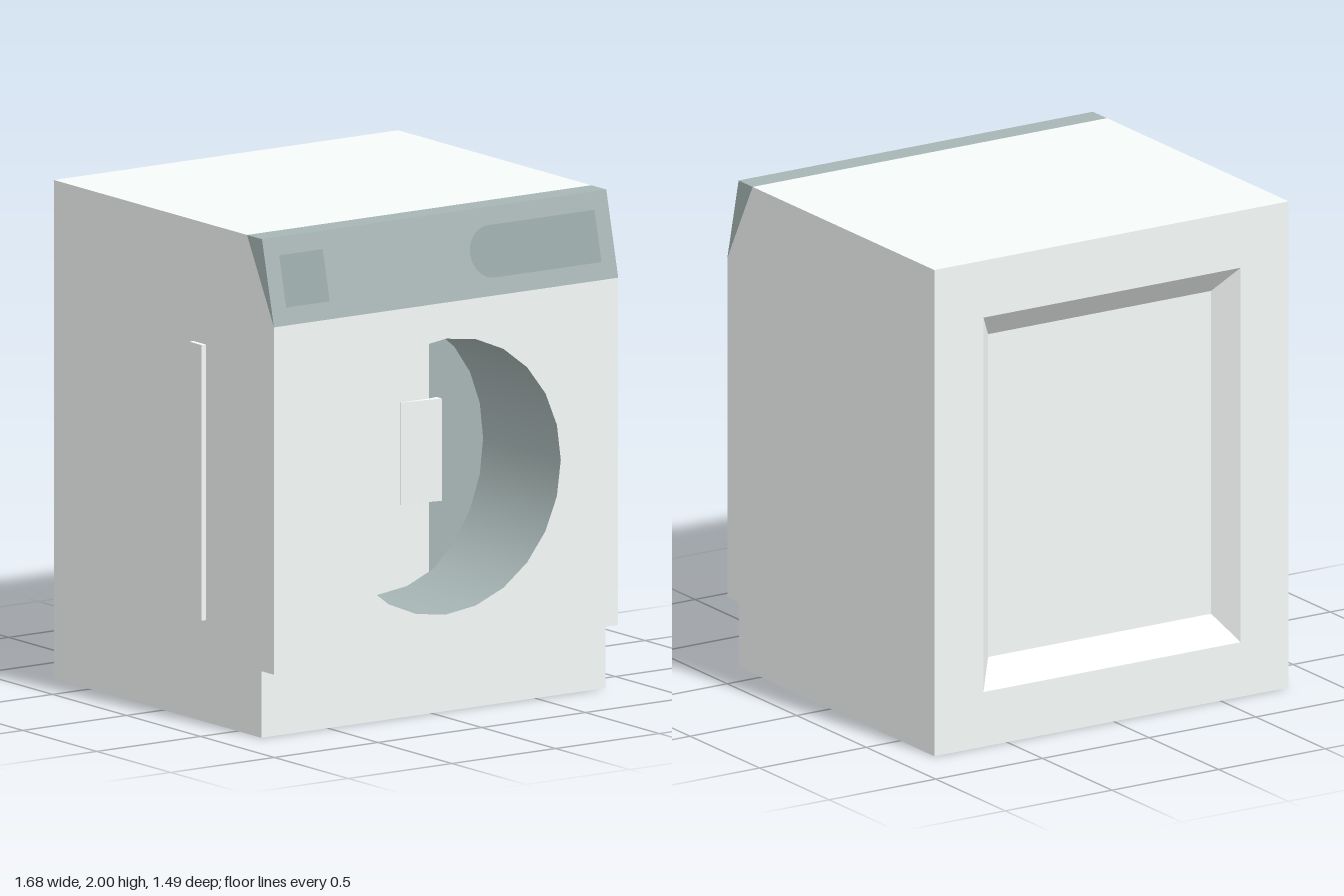
import * as THREE from 'three';

const white = new THREE.MeshStandardMaterial({ color: 0xf6faf8, side: THREE.DoubleSide });
const teal = new THREE.MeshStandardMaterial({ color: 0xa6b5b4, side: THREE.DoubleSide });
const darkTeal = new THREE.MeshStandardMaterial({ color: 0x97a6a5, side: THREE.DoubleSide });

// Main dimensions
const CX = 0.01, W = 1.66, LEFT = 0.84, RIGHT = -0.82;
const FRONT = 0.745, BACK = -0.745, KICK_Z = 0.66, KICK_Y = 0.267;
const PANEL_Y = 1.66, PANEL_TOP_Z = 0.664, PANEL_BACK_Z = 0.563, TOP = 2;
const DOOR_Y = 0.962, DOOR_R = 0.553, DOOR_DEPTH = 0.465;
const CHORD = 0.25, CHORD_SLOPE = 0.2;

const polygon = (points) => new THREE.Shape(points.map(([x, y]) => new THREE.Vector2(x, y)));
const rect = (x0, y0, x1, y1) => [[x0, y0], [x1, y0], [x1, y1], [x0, y1]];
// Points on the 24-sided door circle, from one 15-degree step to another
const arc = (from, to, cx = 0, cy = 0) => {
  const points = [];
  for (let i = from; i <= to; i++) {
    const a = (i * Math.PI) / 12;
    points.push([cx + DOOR_R * Math.cos(a), cy + DOOR_R * Math.sin(a)]);
  }
  return points;
};
// Reverse the corner order of every triangle
const flipFaces = (g) => {
  const index = g.index.array;
  for (let i = 0; i < index.length; i += 3) [index[i], index[i + 1]] = [index[i + 1], index[i]];
  g.computeVertexNormals();
  return g;
};

export function createModel() {
  const model = new THREE.Group();
  const add = (name, geometry, material, parent = model) => {
    const mesh = new THREE.Mesh(geometry, material);
    mesh.name = name;
    parent.add(mesh);
    return mesh;
  };
  // Flat sheet spanning the full width between two (y, z) lines
  const strip = (name, y0, z0, y1, z1) => {
    const g = new THREE.PlaneGeometry(W, Math.hypot(y1 - y0, z1 - z0));
    g.rotateX(Math.atan2(z1 - z0, y1 - y0));
    g.translate(CX, (y0 + y1) / 2, (z0 + z1) / 2);
    add(name, g, white);
  };

  // Cabinet sides, drawn as (z, y) profiles
  const profile = polygon([[BACK, 0], [KICK_Z, 0], [KICK_Z, KICK_Y], [FRONT, KICK_Y],
    [FRONT, PANEL_Y], [PANEL_BACK_Z, TOP], [BACK, TOP]]);
  const side = (x) => new THREE.ShapeGeometry(profile).rotateY(-Math.PI / 2).translate(x, 0, 0);
  add('leftSide', flipFaces(side(LEFT)), white);
  add('rightSide', side(RIGHT), white);

  // Top, underside, kick board and the ledge above it
  strip('topPanel', TOP, PANEL_BACK_Z, TOP, BACK);
  strip('underside', 0, BACK, 0, KICK_Z);
  strip('kickBoard', 0, KICK_Z, KICK_Y, KICK_Z);
  strip('kickLedge', KICK_Y, KICK_Z, KICK_Y, FRONT);

  // Front sheet with the round door opening
  const front = polygon(rect(RIGHT, KICK_Y, LEFT, PANEL_Y));
  front.holes.push(polygon(arc(0, 23, CX, DOOR_Y)));
  add('frontPanel', new THREE.ShapeGeometry(front).translate(0, 0, FRONT), white);

  // Door recess, its wall seen only from inside
  const door = new THREE.Group();
  door.name = 'door';
  door.position.set(CX, DOOR_Y, FRONT);
  model.add(door);
  const wallLength = 0.53;
  const wall = new THREE.CylinderGeometry(DOOR_R, DOOR_R, wallLength, 24, 1, true);
  wall.rotateX(Math.PI / 2).translate(0, 0, -wallLength / 2);
  const inner = teal.clone();
  inner.side = THREE.BackSide;
  add('doorWall', wall, inner, door);

  // Flat door face, and the finger hollow sloping away beyond the chord
  const chordY = 0.489;
  const face = polygon([[CHORD, chordY], ...arc(5, 19), [CHORD, -chordY]]);
  add('doorFace', new THREE.ShapeGeometry(face).translate(0, 0, -DOOR_DEPTH), white, door);
  const hollow = new THREE.ShapeGeometry(polygon([[CHORD, -chordY], ...arc(-4, 4), [CHORD, chordY]]));
  const p = hollow.attributes.position;
  for (let i = 0; i < p.count; i++) p.setZ(i, -DOOR_DEPTH - (p.getX(i) - CHORD) * CHORD_SLOPE);
  hollow.computeVertexNormals();
  add('fingerHollow', hollow, teal, door);

  // Wedge-shaped door handle reaching over the hollow
  const wedge = polygon([[0.11, -0.005], [0.29, -0.005], [0.29, 0.03], [0.11, 0.002]]);
  const handle = new THREE.ExtrudeGeometry(wedge, { depth: 0.41, bevelEnabled: false });
  handle.rotateX(Math.PI / 2).translate(0, 0.205, -DOOR_DEPTH);
  add('doorHandle', handle, white, door);

  // Control panel prism
  const prism = polygon([[FRONT, PANEL_Y], [PANEL_TOP_Z, TOP], [PANEL_BACK_Z, TOP]]);
  const panel = new THREE.ExtrudeGeometry(prism, { depth: W, bevelEnabled: false });
  add('controlPanel', panel.rotateY(-Math.PI / 2).translate(LEFT, 0, 0), teal);

  // Display fields lying on the sloped panel
  const fields = new THREE.Group();
  fields.name = 'controlFields';
  fields.position.set(0, PANEL_Y, FRONT);
  fields.rotation.x = -Math.atan2(FRONT - PANEL_TOP_Z, TOP - PANEL_Y);
  model.add(fields);
  const y0 = 0.07, y1 = 0.277, r = (y1 - y0) / 2;
  const pill = new THREE.Shape();
  pill.moveTo(0.77, y0);
  pill.lineTo(0.77, y1);
  pill.lineTo(0.258, y1);
  pill.absarc(0.258, y0 + r, r, Math.PI / 2, Math.PI * 1.5, false);
  const square = polygon(rect(-0.75, y0, -0.54, y1));
  add('squareField', new THREE.ShapeGeometry(square).translate(0, 0, 0.001), darkTeal, fields);
  add('roundedField', new THREE.ShapeGeometry(pill, 10).translate(0, 0, 0.001), darkTeal, fields);

  // Back sheet with a bevelled rectangular recess
  const outer = rect(-0.595, 0.225, 0.61, 1.765);
  const inset = rect(-0.515, 0.332, 0.53, 1.66);
  const insetZ = BACK + 0.09;
  const back = polygon(rect(RIGHT, 0, LEFT, TOP));
  back.holes.push(polygon(outer));
  const backward = (shape, z) => flipFaces(new THREE.ShapeGeometry(shape).translate(0, 0, z));
  add('backPanel', backward(back, BACK), white);
  add('backRecessFloor', backward(polygon(inset), insetZ), white);
  const corners = [];
  for (let i = 0; i < 4; i++) {
    const j = (i + 1) % 4;
    const a = [...outer[i], BACK], b = [...outer[j], BACK];
    const c = [...inset[j], insetZ], d = [...inset[i], insetZ];
    corners.push(...a, ...c, ...b, ...a, ...d, ...c);
  }
  const bevel = new THREE.BufferGeometry();
  bevel.setAttribute('position', new THREE.Float32BufferAttribute(corners, 3));
  bevel.computeVertexNormals();
  add('backRecessBevel', bevel, white);

  // Upright grip strip on the right side
  const grip = add('sideStrip', new THREE.BoxGeometry(0.03, 1.105, 0.085), white);
  grip.position.set(-0.825, 0.961, 0.242);

  return model;
}
